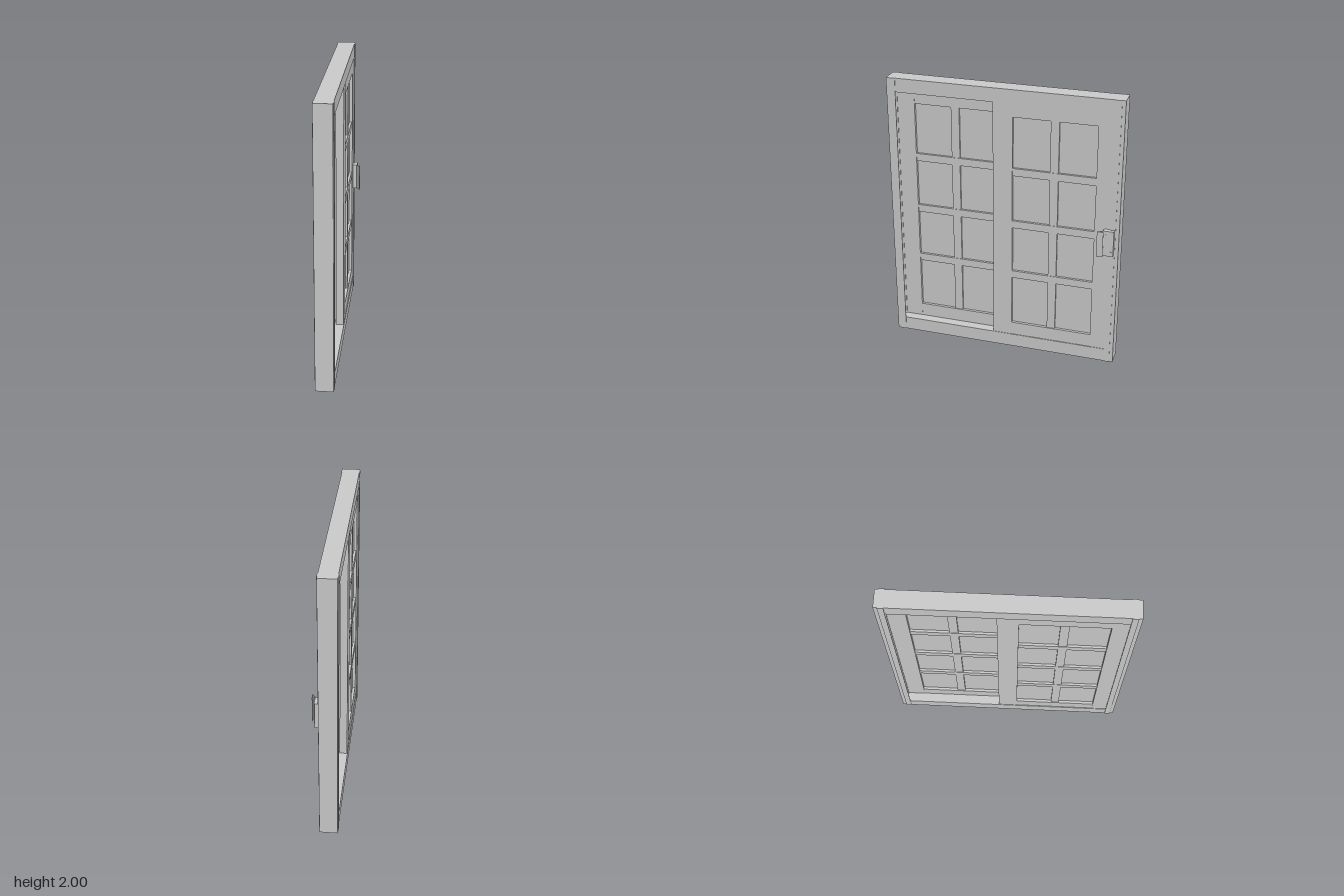
import * as THREE from 'three';

const material = new THREE.MeshStandardMaterial({ color: 0xcccccc });

function add(parent, name, geometry) {
  const mesh = new THREE.Mesh(geometry, material);
  mesh.name = name;
  parent.add(mesh);
  return mesh;
}

// Box given by its limits along each axis
function block(parent, name, [x0, x1], [y0, y1], [z0, z1]) {
  const mesh = add(parent, name, new THREE.BoxGeometry(x1 - x0, y1 - y0, z1 - z0));
  mesh.position.set((x0 + x1) / 2, (y0 + y1) / 2, (z0 + z1) / 2);
  return mesh;
}

// Floor-plan outline of [x, z] points extruded upward from y0 to y1
function upright(parent, name, points, y0, y1) {
  const shape = new THREE.Shape(points.map(([x, z]) => new THREE.Vector2(x, -z)));
  const geometry = new THREE.ExtrudeGeometry(shape, { depth: y1 - y0, bevelEnabled: false });
  geometry.rotateX(-Math.PI / 2).translate(0, y0, 0);
  return add(parent, name, geometry);
}

// Sliding sash: two stiles, two rails, glass and a grid of glazing bars
function buildSash(name, x, side) {
  const sash = new THREE.Group();
  sash.name = name;
  const span = (a, b) => [Math.min(a * side, b * side), Math.max(a * side, b * side)];
  const depth = (d) => [x - d / 2, x + d / 2];
  block(sash, 'meetingStile', depth(0.055), [0.1, 1.9], span(-0.07, 0.07));
  block(sash, 'outerStile', depth(0.055), [0.1, 1.9], span(0.66, 0.8));
  block(sash, 'bottomRail', depth(0.052), [0.1, 0.2], span(0.07, 0.66));
  block(sash, 'topRail', depth(0.052), [1.805, 1.9], span(0.07, 0.66));
  block(sash, 'glass', depth(0.012), [0.2, 1.805], span(0.07, 0.66));
  block(sash, 'verticalBar', depth(0.04), [0.2, 1.805], span(0.335, 0.395));
  for (const y of [0.603, 1.003, 1.403]) {
    block(sash, 'horizontalBar', depth(0.046), [y - 0.028, y + 0.028], span(0.07, 0.66));
  }
  return sash;
}

export function createModel() {
  const model = new THREE.Group();
  model.name = 'slidingWindow';

  // Outer frame
  const frame = new THREE.Group();
  frame.name = 'frame';
  model.add(frame);
  block(frame, 'head', [-0.088, 0.038], [1.9, 2], [-0.81, 0.81]);
  block(frame, 'sill', [-0.088, 0.038], [0, 0.1], [-0.81, 0.81]);

  // Jambs are channels with slightly wider lips and a parting bead
  for (const side of [-1, 1]) {
    const profile = [
      [-0.088, 0.835], [0.038, 0.835], [0.038, 0.81], [0.042, 0.81], [0.042, 0.77],
      [0.036, 0.77], [0.036, 0.805], [-0.023, 0.805], [-0.023, 0.785], [-0.027, 0.785],
      [-0.027, 0.805], [-0.086, 0.805], [-0.086, 0.77], [-0.092, 0.77], [-0.092, 0.81],
      [-0.088, 0.81],
    ].map(([x, z]) => [x, z * side]);
    upright(frame, side > 0 ? 'frontJamb' : 'backJamb', profile, 0, 2);
  }

  // Two sashes on parallel tracks, overlapping at the meeting stiles
  model.add(buildSash('innerSash', 0.007, -1));
  model.add(buildSash('outerSash', -0.057, 1));

  // Pull handle with a flared finger lip
  const handle = new THREE.Group();
  handle.name = 'handle';
  model.add(handle);
  upright(handle, 'handlePlate', [
    [0.034, -0.803], [0.065, -0.803], [0.068, -0.797], [0.068, -0.728], [0.034, -0.728],
  ], 0.875, 1.065);
  upright(handle, 'fingerLip', [
    [0.064, -0.735], [0.068, -0.735], [0.074, -0.722], [0.082, -0.711], [0.087, -0.705],
    [0.087, -0.735], [0.09, -0.735], [0.09, -0.69], [0.086, -0.693], [0.078, -0.708],
    [0.07, -0.718], [0.064, -0.728],
  ], 0.875, 1.065);
  for (const y of [0.905, 1.035]) {
    for (const z of [-0.745, -0.787]) {
      const screw = add(handle, 'screw', new THREE.CylinderGeometry(0.006, 0.006, 0.004, 12));
      screw.rotation.z = Math.PI / 2;
      screw.position.set(0.068, y, z);
    }
  }
  return model;
}
